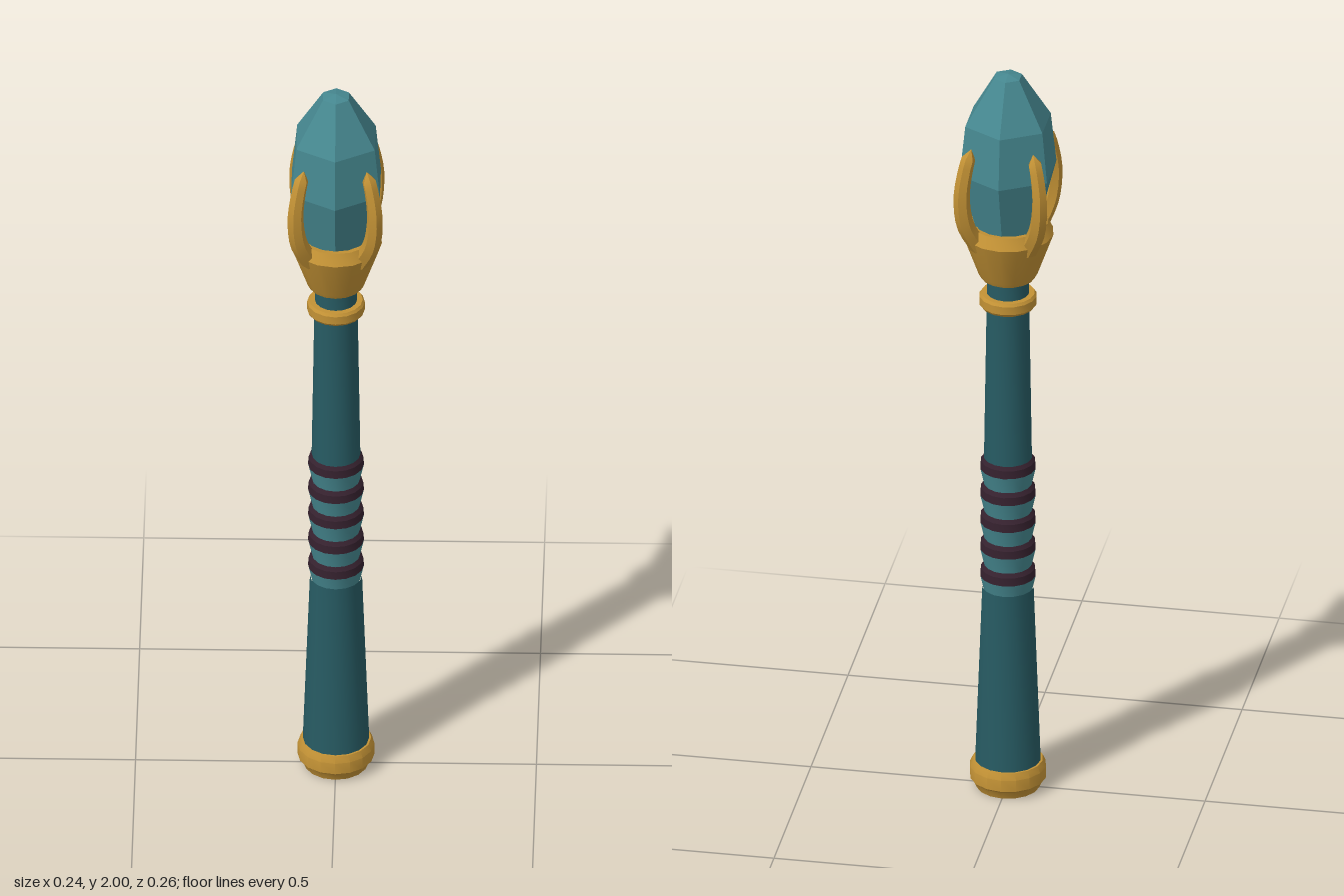
import * as THREE from 'three';
import { toCreasedNormals } from 'three/addons/utils/BufferGeometryUtils.js';

const paint = (name, color) => {
  const m = new THREE.MeshStandardMaterial({ color });
  m.name = name;
  return m;
};

export function createModel() {
  const gold = paint('gold', 0xc39235);
  const darkTeal = paint('dark teal', 0x275b63);
  const teal = paint('light teal', 0x468890);
  const plum = paint('dark plum', 0x35212e);

  const model = new THREE.Group();
  model.name = 'scepter';

  const add = (name, geometry, material, crease, parent = model) => {
    const mesh = new THREE.Mesh(toCreasedNormals(geometry, crease), material);
    mesh.name = name;
    parent.add(mesh);
    return mesh;
  };
  // Profile of [radius, height] pairs, listed from bottom to top
  const turned = (name, profile, material, sides = 16, crease = 0.5, parent = model) =>
    add(name, new THREE.LatheGeometry(profile.map(p => new THREE.Vector2(...p)), sides), material, crease, parent);

  // Handle
  turned('pommel', [[0, 0], [0.08, 0], [0.088, 0.02], [0.096, 0.027], [0.096, 0.058], [0.088, 0.075], [0, 0.075]], gold);
  turned('lowerShaft', [[0.083, 0.07], [0.065, 0.56]], darkTeal);
  turned('upperShaft', [[0.061, 0.91], [0.054, 1.36]], darkTeal);
  turned('neck', [[0.053, 1.37], [0.053, 1.45]], darkTeal);
  turned('neckRing', [[0.05, 1.35], [0.067, 1.35], [0.072, 1.357], [0.072, 1.379], [0.067, 1.386], [0.05, 1.386]], gold);

  // Ribbed grip: each rib has a dark upper slope and a light lower slope
  const grip = new THREE.Group();
  grip.name = 'grip';
  model.add(grip);
  for (let i = 0; i < 5; i++) {
    const top = 0.925 - i * 0.0755;
    turned('gripRib', [[0.06, top - 0.0755], [0.07, top - 0.031]], teal, 16, 0.5, grip);
    turned('gripBand', [[0.07, top - 0.031], [0.068, top - 0.01], [0.06, top]], plum, 16, 0.5, grip);
  }

  // Head: cup with a bevelled rim and a hollow inside
  turned('cup', [[0.05, 1.432], [0.068, 1.432], [0.075, 1.445], [0.115, 1.557], [0.1, 1.587], [0.085, 1.585], [0.07, 1.52], [0, 1.52]], gold);

  // Six-sided crystal with a small flat tip
  turned('crystal', [[0, 1.51], [0.065, 1.51], [0.128, 1.735], [0.113, 1.87], [0.037, 1.993], [0, 2]], teal, 6, 0.15);

  // Four curved prongs, tapered towards their closed tips
  const path = new THREE.CatmullRomCurve3(
    [[0.088, 1.54], [0.128, 1.61], [0.14, 1.69], [0.13, 1.76], [0.111, 1.82]].map(([r, y]) => new THREE.Vector3(r, y, 0)));
  const rings = 12, sides = 6;
  const prongGeometry = () => {
    const g = new THREE.TubeGeometry(path, rings, 0.024, sides);
    const pos = g.attributes.position, v = new THREE.Vector3();
    for (let i = 0; i < pos.count; i++) {
      const ring = Math.floor(i / (sides + 1));
      const t = Math.min(ring, rings - 1) / (rings - 1);
      const centre = path.getPointAt(ring / rings);
      const scale = ring === rings ? 0 : 1 - 0.25 * t;
      v.fromBufferAttribute(pos, i).sub(centre).multiplyScalar(scale).add(centre);
      pos.setXYZ(i, v.x, v.y, v.z);
    }
    return g;
  };
  for (let i = 0; i < 4; i++) {
    add('prong', prongGeometry(), gold, 0.6).rotation.y = Math.PI / 4 + i * Math.PI / 2;
  }

  return model;
}
